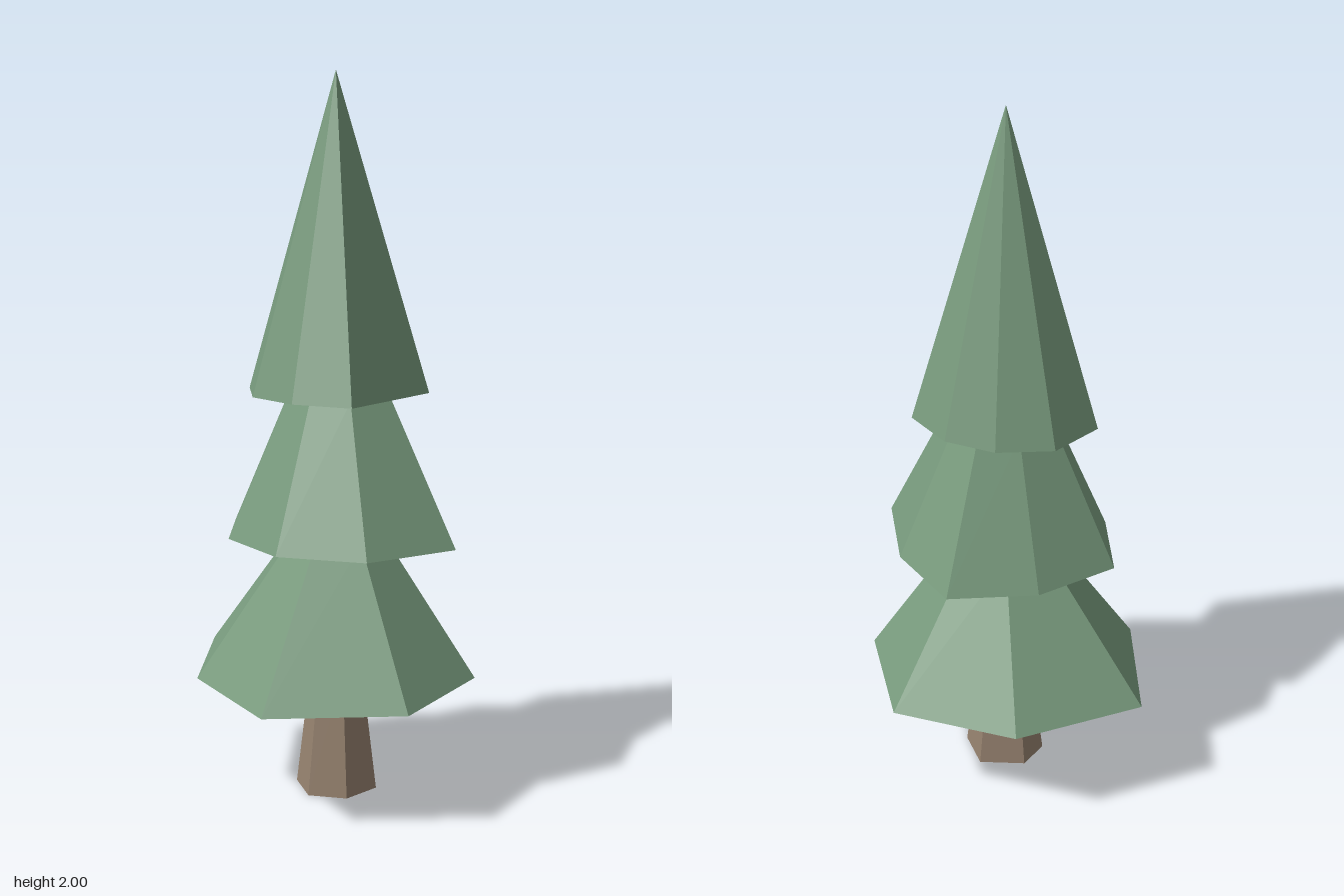
import * as THREE from 'three';

// Closed faceted frustum over an irregular [x, z] outline that shrinks towards a centre.
// The outline runs clockwise as seen from above; topScale 0 gives a point.
function taper(outline, y0, y1, topScale, [cx, cz]) {
  const pos = [];
  const tri = (...points) => points.forEach((p) => pos.push(...p));
  const base = outline.map(([x, z]) => [x, y0, z]);
  const top = outline.map(([x, z]) => [cx + (x - cx) * topScale, y1, cz + (z - cz) * topScale]);
  base.forEach((a, i) => {
    const j = (i + 1) % base.length;
    tri(base[j], a, top[i]);
    tri([cx, y0, cz], a, base[j]);
    if (topScale > 0) {
      tri(base[j], top[i], top[j]);
      tri([cx, y1, cz], top[j], top[i]);
    }
  });
  const geometry = new THREE.BufferGeometry();
  geometry.setAttribute('position', new THREE.Float32BufferAttribute(pos, 3));
  geometry.computeVertexNormals();
  return geometry;
}

export function createModel() {
  const foliage = new THREE.MeshStandardMaterial({ color: 0x789a7d });
  foliage.name = 'foliage green';
  const bark = new THREE.MeshStandardMaterial({ color: 0x96826f });
  bark.name = 'bark brown';

  const parts = [
    // Six-sided trunk, narrowing upwards
    { name: 'trunk', material: bark, y0: 0, y1: 0.345, scale: 0.64, centre: [-0.02, 0],
      outline: [[-0.045, 0.11], [-0.13, 0.04], [-0.11, -0.075], [-0.02, -0.115], [0.09, -0.04], [0.065, 0.08]] },
    // Wide lowest tier of branches
    { name: 'lowerBranches', material: foliage, y0: 0.345, y1: 0.74, scale: 0.325, centre: [-0.01, 0],
      outline: [[-0.21, -0.43], [0.168, -0.367], [0.4, -0.09], [0.285, 0.248], [-0.028, 0.425], [-0.378, 0.268], [-0.402, -0.104]] },
    // Middle tier
    { name: 'middleBranches', material: foliage, y0: 0.74, y1: 1.135, scale: 0.45, centre: [-0.015, 0],
      outline: [[-0.195, -0.293], [0.055, -0.298], [0.277, -0.185], [0.283, 0.065], [0.178, 0.313], [-0.097, 0.322], [-0.28, 0.155], [-0.313, -0.078]] },
    // Pointed crown
    { name: 'crown', material: foliage, y0: 1.135, y1: 2, scale: 0, centre: [-0.018, -0.005],
      outline: [[-0.025, -0.245], [0.115, -0.171], [0.197, -0.048], [0.206, 0.117], [-0.1, 0.243], [-0.21, 0.113], [-0.253, -0.04], [-0.19, -0.2]] },
  ];

  const tree = new THREE.Group();
  tree.name = 'tree';
  for (const p of parts) {
    const mesh = new THREE.Mesh(taper(p.outline, p.y0, p.y1, p.scale, p.centre), p.material);
    mesh.name = p.name;
    tree.add(mesh);
  }
  return tree;
}
